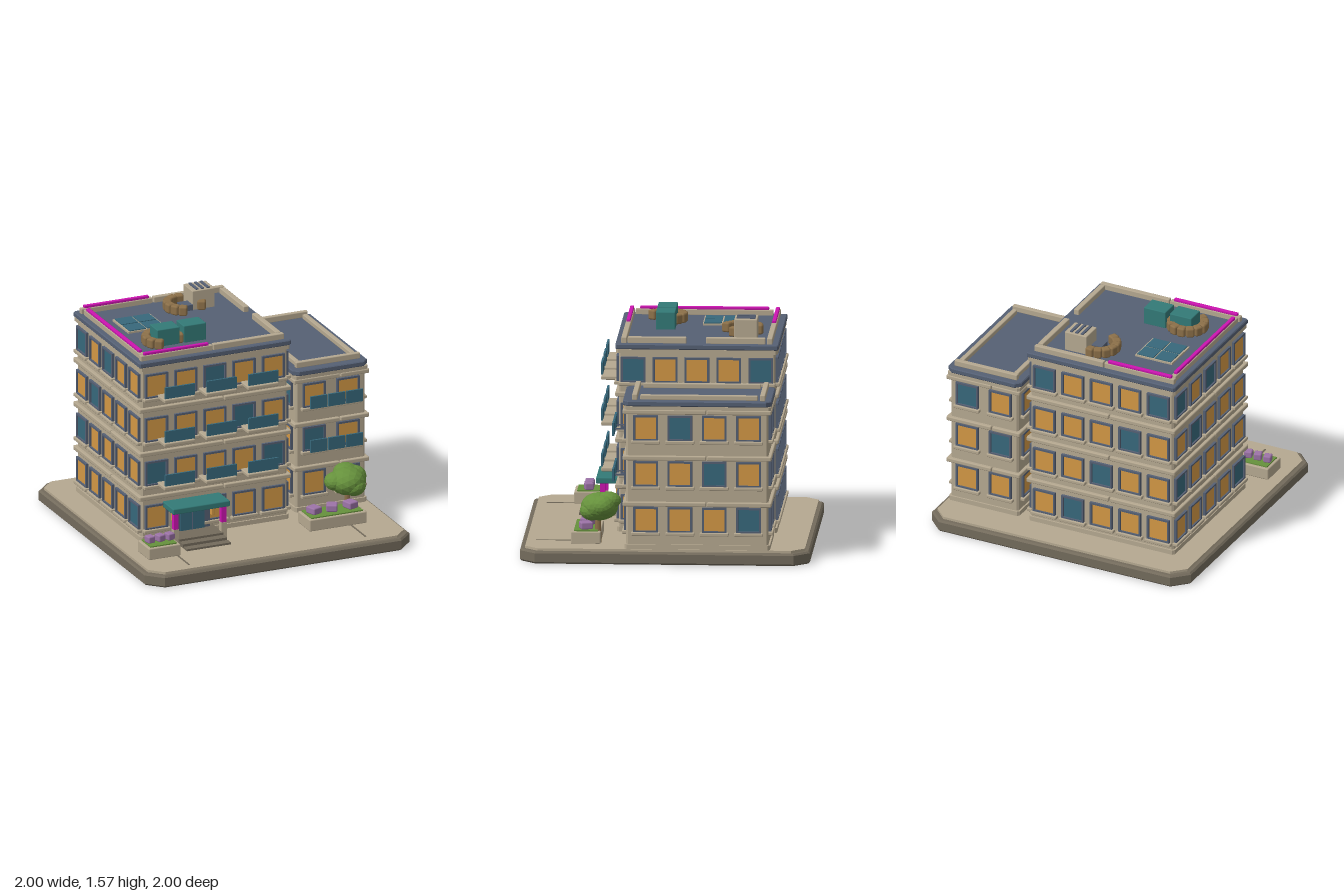
import * as THREE from 'three';
import { RoundedBoxGeometry } from 'three/addons/geometries/RoundedBoxGeometry.js';

const mat = (name, color) => {
  const m = new THREE.MeshStandardMaterial({ color });
  m.name = name;
  return m;
};

export function createModel() {
  const M = {
    tan: mat('sandstone', 0xb5a890), stone: mat('dark stone', 0x736b5c),
    slate: mat('slate', 0x556074), amber: mat('lit window', 0xd39845),
    glass: mat('blue glass', 0x37687b), teal: mat('teal metal', 0x337a77),
    neon: mat('magenta neon', 0xcc14b0), purple: mat('purple flower', 0x9d74a8),
    green: mat('foliage', 0x66913c), brown: mat('brown wood', 0x8c7049),
  };
  M.green.flatShading = true;
  const model = new THREE.Group();
  model.name = 'apartmentBuilding';

  const add = (parent, name, geo, m, x = 0, y = 0, z = 0) => {
    const mesh = new THREE.Mesh(geo, m);
    mesh.name = name;
    mesh.position.set(x, y, z);
    parent.add(mesh);
    return mesh;
  };
  // Box given by its limits on each axis; r > 0 rounds the edges
  const span = (parent, name, m, x0, x1, y0, y1, z0, z1, r = 0) => {
    const s = [x1 - x0, y1 - y0, z1 - z0];
    const geo = r ? new RoundedBoxGeometry(...s, 1, r) : new THREE.BoxGeometry(...s);
    return add(parent, name, geo, m, (x0 + x1) / 2, (y0 + y1) / 2, (z0 + z1) / 2);
  };
  // Slab with cut corners, standing on y0
  const slab = (parent, name, m, hx, hz, c, y0, y1, x = 0, z = 0, bevel = 0) => {
    const a = hx - bevel, b = hz - bevel;
    const s = new THREE.Shape([
      [-a + c, -b], [a - c, -b], [a, -b + c], [a, b - c],
      [a - c, b], [-a + c, b], [-a, b - c], [-a, -b + c],
    ].map(p => new THREE.Vector2(...p)));
    const geo = new THREE.ExtrudeGeometry(s, {
      depth: y1 - y0 - 2 * bevel, bevelEnabled: bevel > 0,
      bevelSize: bevel, bevelThickness: bevel, bevelSegments: 1,
    });
    geo.rotateX(-Math.PI / 2);
    return add(parent, name, geo, m, x, y0 + bevel, z);
  };

  // Ground plate, paving and paving joints
  slab(model, 'groundPlate', M.stone, 1, 1, 0.1, 0, 0.085, 0, 0, 0.012);
  slab(model, 'paving', M.tan, 0.965, 0.965, 0.09, 0.08, 0.102);
  span(model, 'pavingJoint', M.stone, -0.672, -0.66, 0.1, 0.105, 0.41, 0.9);
  span(model, 'pavingJoint', M.stone, 0.66, 0.672, 0.1, 0.105, 0.65, 0.9);

  // Window frame with an opening
  const frameGeo = (w, h, t) => {
    const rect = (C, a, b) => new C([[-a, -b], [a, -b], [a, b], [-a, b]].map(p => new THREE.Vector2(...p)));
    const s = rect(THREE.Shape, w / 2, h / 2);
    s.holes.push(rect(THREE.Path, w / 2 - t, h / 2 - t));
    return new THREE.ExtrudeGeometry(s, { depth: 0.022, bevelEnabled: false });
  };
  const frame = frameGeo(0.17, 0.18, 0.014);
  const pane = new THREE.BoxGeometry(0.145, 0.155, 0.006);
  const sill = new RoundedBoxGeometry(0.2, 0.024, 0.04, 1, 0.006);

  // One wall face: a row string per floor from the ground, O lit, T dark, - none
  const facade = (b, name, turn, dist, half, us, rows) => {
    const g = new THREE.Group();
    g.name = name;
    g.position.set(b.x, 0, b.z);
    g.rotation.y = turn;
    b.group.add(g);
    rows.forEach((row, f) => {
      const y = b.windowY + f * 0.3215;
      us.forEach((u, i) => {
        if (row[i] === '-') return;
        add(g, 'windowFrame', frame, M.slate, u, y, dist - 0.004);
        add(g, 'windowPane', pane, row[i] === 'O' ? M.amber : M.glass, u, y, dist + 0.003);
        add(g, 'windowSill', sill, M.tan, u, y - 0.098, dist + 0.012);
      });
      // Floor ledge in two lengths
      const ly = 0.402 + f * 0.3235;
      if (ly < b.top - 0.05) {
        span(g, 'floorLedge', M.tan, -half - 0.022, 0.062, ly, ly + 0.032, dist - 0.02, dist + 0.024, 0.008);
        span(g, 'floorLedge', M.tan, 0.068, half + 0.022, ly, ly + 0.032, dist - 0.02, dist + 0.024, 0.008);
      }
    });
    return g;
  };
  const building = (name, x, z, hx, hz, top, windowY, c) => {
    const b = { x, z, hx, hz, top, windowY, group: new THREE.Group() };
    b.group.name = name;
    model.add(b.group);
    slab(b.group, 'walls', M.tan, hx, hz, 0.012, 0.1, top, x, z);
    slab(b.group, 'plinth', M.tan, hx + 0.012, hz + 0.012, 0.015, 0.1, 0.135, x, z);
    slab(b.group, 'cornice', M.tan, hx + 0.018, hz + 0.018, 0.015, top - 0.028, top, x, z);
    slab(b.group, 'roofSlab', M.slate, hx + 0.023, hz + 0.023, c, top, top + 0.037, x, z, 0.006);
    return b;
  };
  const Q = Math.PI / 2;

  // Main block
  const main = building('mainBlock', -0.23, -0.19, 0.55, 0.54, 1.382, 0.272, 0.008);
  const us = [-0.44, -0.22, 0, 0.22, 0.44];
  facade(main, 'mainFront', 0, 0.54, 0.55, us, ['O-OOO', 'TOOOT', 'OOOTO', 'OOTOO']);
  facade(main, 'mainRight', Q, 0.55, 0.54, us, ['OOOOO', 'OOOTO', 'OOTOO', 'TOOOT']);
  facade(main, 'mainBack', 2 * Q, 0.54, 0.55, us, ['OTOOO', 'OOTOO', 'OOOTO', 'TOOOT']);
  facade(main, 'mainLeft', -Q, 0.55, 0.54, us, ['OOOOT', 'TOOOO', 'OTOOO', 'TOTOO']);

  // Annex
  const annex = building('annex', 0.685, -0.225, 0.26, 0.49, 1.105, 0.308, 0.035);
  const pair = [-0.128, 0.128], four = [-0.355, -0.118, 0.118, 0.355];
  facade(annex, 'annexFront', 0, 0.49, 0.26, pair, ['OT', 'TO', 'OO']);
  facade(annex, 'annexRight', Q, 0.26, 0.49, four, ['OOOT', 'OOTO', 'OTOO']);
  facade(annex, 'annexBack', 2 * Q, 0.49, 0.26, pair, ['OO', 'OT', 'TO']);
  facade(annex, 'annexLeft', -Q, 0.26, 0.49, four, ['OOOO', 'OTOO', 'OOOT']);

  // Balconies
  for (let f = 0; f < 3; f++) {
    const y = 0.495 + f * 0.3215;
    for (const x of [-0.545, -0.23, 0.085]) {
      span(model, 'balconyFloor', M.tan, x - 0.117, x + 0.117, y, y + 0.028, 0.34, 0.478, 0.008);
      span(model, 'balconyScreen', M.glass, x - 0.112, x + 0.112, y + 0.036, y + 0.118, 0.466, 0.48);
    }
    if (f === 2) continue;
    const ay = 0.56 + f * 0.3215;
    for (const x of [0.555, 0.69, 0.825]) {
      span(model, 'annexScreen', M.glass, x - 0.062, x + 0.062, ay, ay + 0.09, 0.35, 0.364);
    }
    for (const x of [0.62, 0.76]) {
      span(model, 'screenBracket', M.slate, x - 0.005, x + 0.005, ay + 0.02, ay + 0.03, 0.26, 0.352);
    }
  }

  // Entrance: door, lamps, canopy, posts and steps
  const entry = new THREE.Group();
  entry.name = 'entrance';
  model.add(entry);
  span(entry, 'doorFrame', M.slate, -0.545, -0.275, 0.1, 0.335, 0.34, 0.375);
  span(entry, 'door', M.glass, -0.5, -0.318, 0.125, 0.322, 0.37, 0.384);
  span(entry, 'doorSplit', M.slate, -0.412, -0.406, 0.125, 0.322, 0.38, 0.387);
  span(entry, 'canopy', M.teal, -0.622, -0.192, 0.332, 0.375, 0.35, 0.535, 0.008);
  for (const s of [-1, 1]) {
    const x = -0.407 + s * 0.18;
    span(entry, 'postBase', M.tan, x - 0.02, x + 0.02, 0.1, 0.212, 0.47, 0.51);
    span(entry, 'neonPost', M.neon, x - 0.018, x + 0.018, 0.21, 0.333, 0.472, 0.508);
    const l = -0.407 + s * 0.148;
    span(entry, 'doorLamp', M.amber, l - 0.013, l + 0.013, 0.23, 0.295, 0.37, 0.4, 0.005);
  }
  [[0.35, 0.53, 0.145], [0.5, 0.59, 0.13], [0.6, 0.655, 0.116]].forEach(([a, b, y]) =>
    span(entry, 'step', M.stone, -0.573, -0.24, 0.1, y, a, b));

  // Planters with flower blocks
  const planter = (x0, x1, z0, z1, size, flowers) => {
    span(model, 'planterBox', M.tan, x0, x1, 0.1, 0.185, z0, z1, 0.008);
    span(model, 'planterGrass', M.green, x0 + 0.02, x1 - 0.02, 0.18, 0.193, z0 + 0.02, z1 - 0.02);
    flowers.forEach(([x, z, turn]) => {
      const f = add(model, 'flower', new RoundedBoxGeometry(size, 0.05, size * 1.1, 1, 0.01), M.purple, x, 0.218, z);
      f.rotation.y = turn;
    });
  };
  planter(-0.882, -0.643, 0.515, 0.71, 0.056, [[-0.832, 0.61, 0.2], [-0.757, 0.61, 0.3], [-0.685, 0.61, 0.25]]);
  planter(0.355, 0.785, 0.45, 0.655, 0.078, [[0.432, 0.552, 0.35], [0.567, 0.552, -0.45], [0.705, 0.555, 0.3]]);

  // Tree: trunk and lumpy crown
  add(model, 'treeTrunk', new THREE.CylinderGeometry(0.018, 0.026, 0.2, 7), M.brown, 0.72, 0.2, 0.47);
  [[0.725, 0.355, 0.46, 0.13, 0.098], [0.64, 0.36, 0.45, 0.08, 0.065],
    [0.79, 0.37, 0.43, 0.085, 0.075], [0.74, 0.4, 0.4, 0.09, 0.06], [0.75, 0.33, 0.51, 0.085, 0.07]]
    .forEach(([x, y, z, r, h], i) => {
      const c = add(model, 'treeCrown', new THREE.IcosahedronGeometry(1, 2), M.green, x, y, z);
      c.scale.set(r, h, r);
      c.rotation.y = i * 1.3;
    });

  // Main roof parapets and neon strips
  const roof = new THREE.Group();
  roof.name = 'roofDetails';
  model.add(roof);
  const T = 1.415;
  for (const z of [-0.69, 0.315]) {
    span(roof, 'parapet', M.tan, -0.775, -0.235, T, 1.457, z - 0.019, z + 0.019, 0.006);
    span(roof, 'parapet', M.tan, -0.228, 0.305, T, 1.46, z - 0.019, z + 0.019, 0.006);
    span(roof, 'neonStrip', M.neon, -0.75, -0.262, 1.455, 1.476, z - 0.014, z + 0.014, 0.006);
  }
  span(roof, 'parapet', M.tan, -0.765, -0.727, T, 1.457, -0.66, 0.29, 0.006);
  span(roof, 'neonStrip', M.neon, -0.76, -0.732, 1.455, 1.476, -0.63, 0.26, 0.006);
  span(roof, 'parapet', M.tan, 0.26, 0.3, T, 1.46, -0.66, -0.25, 0.006);
  span(roof, 'parapet', M.tan, 0.26, 0.3, T, 1.46, -0.115, 0.29, 0.006);

  // Annex parapets
  for (const z of [-0.675, 0.207]) span(roof, 'annexParapet', M.tan, 0.445, 0.928, 1.14, 1.183, z - 0.018, z + 0.018, 0.006);
  for (const x of [0.475, 0.895]) span(roof, 'annexParapet', M.tan, x - 0.018, x + 0.018, 1.14, 1.175, -0.64, 0.17, 0.006);

  // Skylight with four panes
  span(roof, 'skylightFrame', M.tan, -0.635, -0.352, T, 1.432, -0.463, -0.193);
  for (const x of [-0.56, -0.425]) for (const z of [-0.394, -0.262])
    span(roof, 'skylightPane', M.glass, x - 0.062, x + 0.062, 1.43, 1.438, z - 0.06, z + 0.06);

  // Rooftop cabinets and vent
  span(roof, 'cabinet', M.teal, -0.557, -0.388, T, 1.542, -0.012, 0.122, 0.006);
  span(roof, 'cabinet', M.teal, -0.357, -0.188, T, 1.542, -0.012, 0.122, 0.006);
  span(roof, 'cabinetLink', M.teal, -0.39, -0.355, T, 1.45, 0.01, 0.1);
  span(roof, 'vent', M.tan, -0.043, 0.127, T, 1.557, -0.595, -0.435, 0.006);
  for (const x of [0, 0.042, 0.084]) span(roof, 'ventSlat', M.slate, x - 0.01, x + 0.01, 1.555, 1.565, -0.58, -0.45);
  span(roof, 'ventDuct', M.slate, -0.12, -0.04, T, 1.46, -0.52, -0.43);

  // Curved rows of rounded seats
  const arc = (x, z, r, from, to, n) => {
    for (let i = 0; i < n; i++) {
      const a = THREE.MathUtils.degToRad(from + (to - from) * i / (n - 1));
      const s = add(roof, 'seat', new RoundedBoxGeometry(0.062, 0.07, 0.06, 1, 0.014), M.brown,
        x + r * Math.cos(a), 1.453, z + r * Math.sin(a));
      s.rotation.y = -a;
    }
  };
  arc(-0.492, 0.062, 0.115, 125, 375, 10);
  arc(-0.085, -0.478, 0.118, 118, 275, 7);
  arc(-0.085, -0.478, 0.118, 20, 25, 2);

  return model;
}
